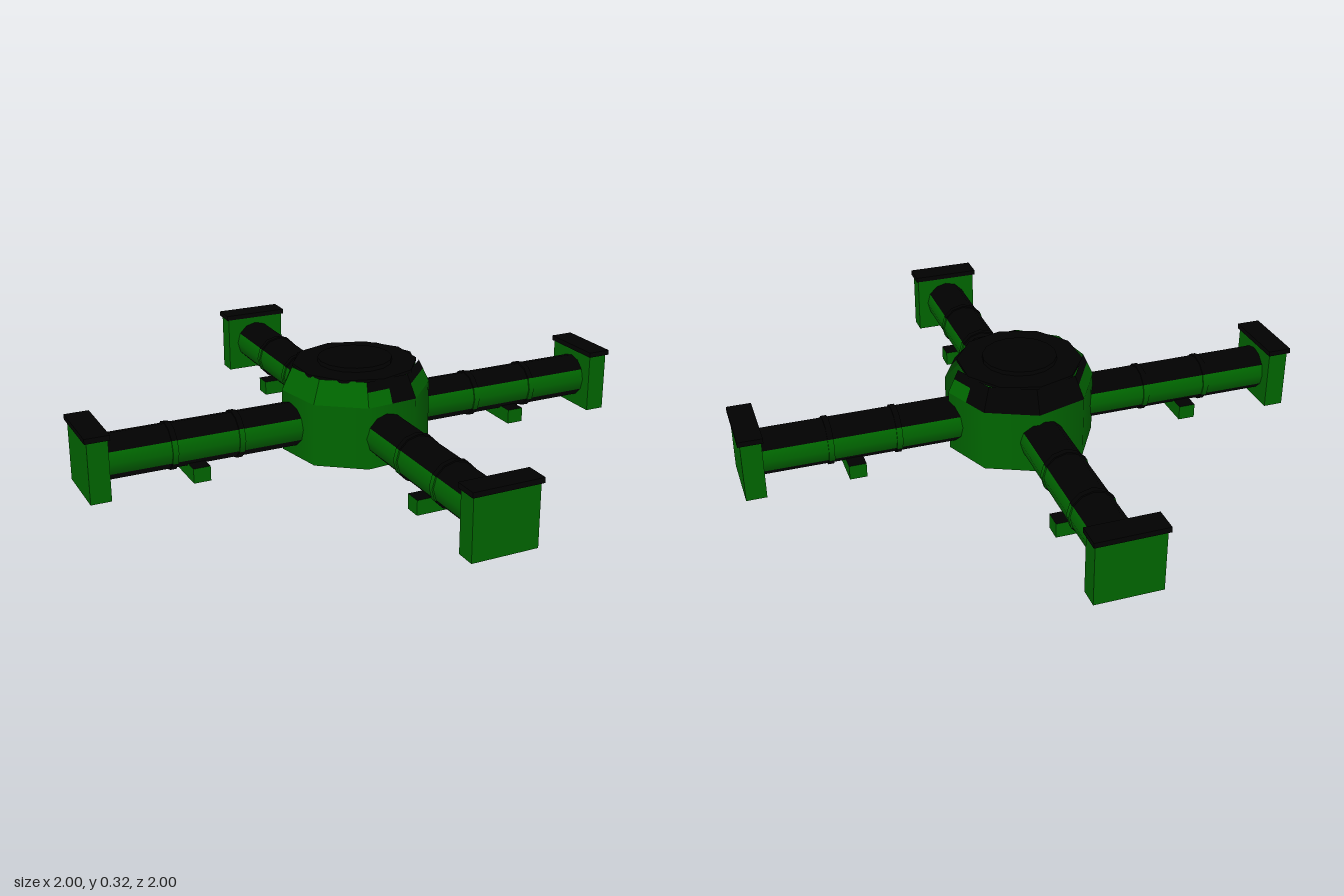
import * as THREE from 'three';

const rad = THREE.MathUtils.degToRad;
const lerp = THREE.MathUtils.lerp;

export function createModel() {
  const green = new THREE.MeshStandardMaterial({ color: 0x006600, side: THREE.DoubleSide });
  green.name = 'green panel';
  const black = new THREE.MeshStandardMaterial({ color: 0x010101, side: THREE.DoubleSide });
  black.name = 'black deck';
  // green walls with black top and bottom
  const boxSides = [green, green, black, black, green, green];

  const model = new THREE.Group();
  model.name = 'crossStation';

  function add(parent, name, geometry, material, x = 0, y = 0, z = 0) {
    const mesh = new THREE.Mesh(geometry, material);
    mesh.name = name;
    mesh.position.set(x, y, z);
    parent.add(mesh);
    return mesh;
  }

  // Hub: eight-panel wall, open below, with a narrow gap in the ring
  const first = 22, step = 42, rBase = 0.262, rTop = 0.225;
  add(model, 'hubWall',
    new THREE.CylinderGeometry(rBase, rBase, 0.22, 8, 1, true, rad(92), rad(step * 8)), green, 0, 0.11, 0);

  // Sloped collar: each panel is two half panels wide and two rows high
  function collarPoint(half, t) {
    const corner = (i) => new THREE.Vector3(Math.cos(rad(first + i * step)), 0, Math.sin(rad(first + i * step)));
    const panel = Math.floor(half / 2);
    const point = corner(panel).lerp(corner(panel + 1), (half % 2) / 2).multiplyScalar(lerp(rBase, rTop, t));
    point.y = lerp(0.22, 0.30, t);
    return point;
  }
  const collarRows = [
    { low: 0, high: 0.6, paint: 'ggbgggggggbbbbbg' },
    { low: 0.6, high: 1, paint: 'bbbbggggbbbbbbbb' },
  ];
  for (const { low, high, paint } of collarRows) {
    [...paint].forEach((letter, i) => {
      const [a, b, c, d] = [collarPoint(i, low), collarPoint(i, high), collarPoint(i + 1, high), collarPoint(i + 1, low)];
      const geometry = new THREE.BufferGeometry().setFromPoints([a, b, c, a, c, d]);
      geometry.computeVertexNormals();
      add(model, 'hubCollar', geometry, letter === 'g' ? green : black);
    });
  }

  // Hub roof and raised hatch
  add(model, 'hubRoof', new THREE.CylinderGeometry(0.218, 0.218, 0.01, 10), black, 0, 0.298, 0);
  add(model, 'roofHatch', new THREE.CylinderGeometry(0.13, 0.13, 0.016, 16), black, 0, 0.31, 0);

  // Tube along x: green flanks, black upper and lower arcs
  function tube(parent, name, radius, x0, x1, open) {
    const group = new THREE.Group();
    group.name = name;
    for (const [from, sweep, material] of [[-30, 60, green], [30, 120, black], [150, 60, green], [210, 120, black]]) {
      const geometry = new THREE.CylinderGeometry(radius, radius, x1 - x0, sweep / 30, 1, open, rad(from), rad(sweep));
      geometry.rotateZ(-Math.PI / 2);
      add(group, name + 'Arc', geometry, material, (x0 + x1) / 2, 0.11, 0);
    }
    parent.add(group);
  }

  // Four identical arms
  for (let i = 0; i < 4; i++) {
    const arm = new THREE.Group();
    arm.name = 'arm';
    tube(arm, 'armTube', 0.078, 0.225, 0.93, true);
    add(arm, 'armInnerCap', new THREE.CircleGeometry(0.078, 12).rotateY(-Math.PI / 2), green, 0.225, 0.11, 0);
    for (const x of [0.455, 0.69]) tube(arm, 'armBand', 0.083, x - 0.01, x + 0.01, false);
    add(arm, 'foot', new THREE.BoxGeometry(0.06, 0.052, 0.2), boxSides, 0.61, 0.026, 0);
    add(arm, 'endBlock', new THREE.BoxGeometry(0.07, 0.212, 0.23), boxSides, 0.957, 0.106, 0);
    add(arm, 'endLid', new THREE.BoxGeometry(0.084, 0.018, 0.245), black, 0.958, 0.221, 0);
    arm.rotation.y = i * Math.PI / 2;
    model.add(arm);
  }
  return model;
}
